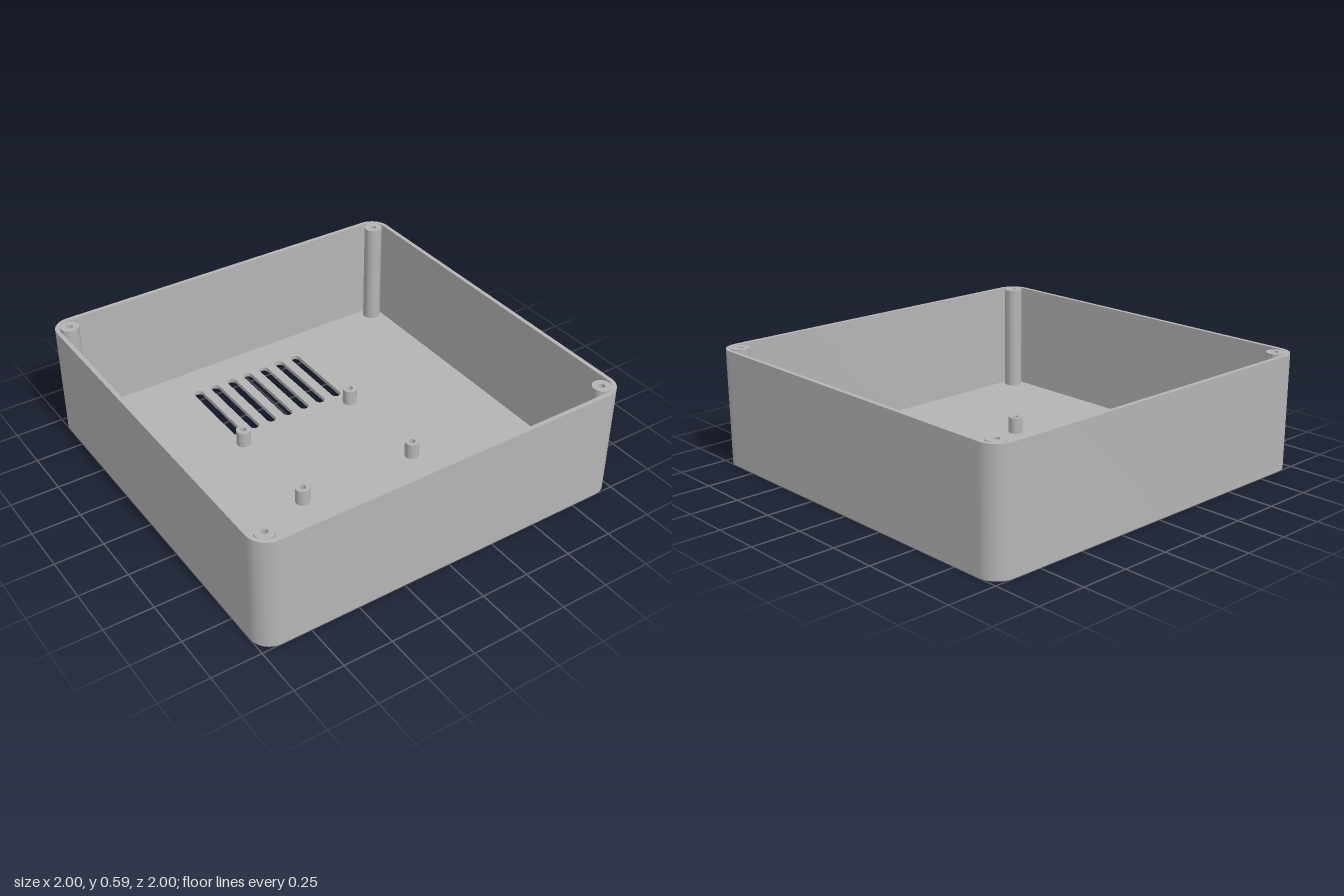
import * as THREE from 'three';
import { toCreasedNormals } from 'three/addons/utils/BufferGeometryUtils.js';

const HEIGHT = 0.59, WALL = 0.022, FLOOR = 0.022, CORNER = 0.1;

// Rounded rectangle outline; works for the case, its cavity and the slots
function roundedRect(Type, cx, cy, w, h, r) {
  const s = new Type();
  const x = w / 2 - r, y = h / 2 - r;
  s.absarc(cx + x, cy + y, r, 0, Math.PI / 2);
  s.absarc(cx - x, cy + y, r, Math.PI / 2, Math.PI);
  s.absarc(cx - x, cy - y, r, Math.PI, Math.PI * 1.5);
  s.absarc(cx + x, cy - y, r, Math.PI * 1.5, Math.PI * 2);
  s.closePath();
  return s;
}

function circle(Type, cx, cy, r) {
  const s = new Type();
  s.absarc(cx, cy, r, 0, Math.PI * 2);
  return s;
}

// Extrude a plan shape (plan y = -z) upward between two heights
function extrudeUp(shape, y0, y1) {
  const g = new THREE.ExtrudeGeometry(shape, { depth: y1 - y0, bevelEnabled: false, curveSegments: 16 });
  g.rotateX(-Math.PI / 2);
  g.translate(0, y0, 0);
  return toCreasedNormals(g, 0.6);
}

export function createModel() {
  const group = new THREE.Group();
  group.name = 'enclosure';
  const grey = new THREE.MeshStandardMaterial({ color: 0xb4b4b4 });
  grey.name = 'grey plastic';

  function add(name, geometry, x = 0, z = 0) {
    const mesh = new THREE.Mesh(geometry, grey);
    mesh.name = name;
    mesh.position.set(x, 0, z);
    group.add(mesh);
  }

  // Floor with vent slots and two round openings
  const floor = roundedRect(THREE.Shape, 0, 0, 2, 2, CORNER);
  for (let i = -3; i <= 3; i++) {
    floor.holes.push(roundedRect(THREE.Path, i * 0.1015, 0.576, 0.05, 0.452, 0.0249));
  }
  floor.holes.push(circle(THREE.Path, 0, -0.75, 0.091));
  floor.holes.push(circle(THREE.Path, 0.38, -0.75, 0.075));
  add('floor', extrudeUp(floor, 0, FLOOR));

  // Thin outer wall
  const wall = roundedRect(THREE.Shape, 0, 0, 2, 2, CORNER);
  wall.holes.push(roundedRect(THREE.Path, 0, 0, 2 - 2 * WALL, 2 - 2 * WALL, CORNER - WALL));
  add('wall', extrudeUp(wall, FLOOR, HEIGHT));

  // Drilled screw posts in the corners and short board standoffs
  const postShape = circle(THREE.Shape, 0, 0, 0.047);
  postShape.holes.push(circle(THREE.Path, 0, 0, 0.016));
  const standoffShape = circle(THREE.Shape, 0, 0, 0.037);
  standoffShape.holes.push(circle(THREE.Path, 0, 0, 0.016));
  const post = extrudeUp(postShape, FLOOR, HEIGHT);
  const standoff = extrudeUp(standoffShape, FLOOR, 0.107);
  for (const sx of [-1, 1]) {
    for (const sz of [-1, 1]) {
      add('cornerPost', post, sx * 0.922, sz * 0.922);
      add('boardStandoff', standoff, sx * 0.326, sz * 0.275);
    }
  }
  return group;
}
